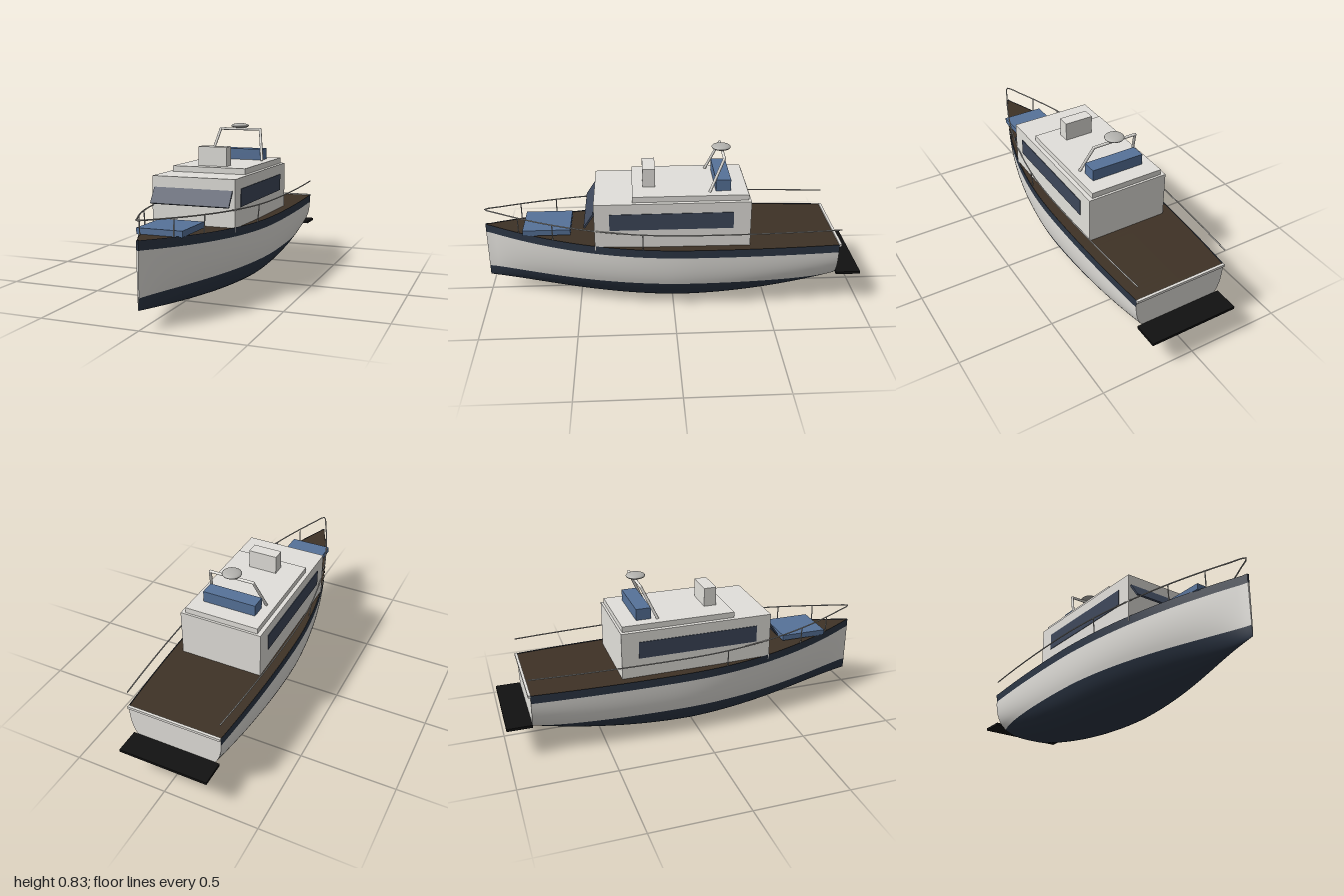
import * as THREE from 'three';

const mat = (name, color, side = THREE.FrontSide) => {
  const m = new THREE.MeshStandardMaterial({ color, side });
  m.name = name;
  return m;
};

// Hull lines as functions of z
const STERN = -0.87, BOW = 1, WATERLINE = 0.145, STRIPE = 0.045;
const beam = z => z < -0.15
  ? 0.28 - 0.03 * ((-0.15 - z) / 0.72) ** 2
  : Math.max(0.005, 0.28 * (1 - ((z + 0.15) / 1.15) ** 2.15));
const sheer = z => z > 0 ? 0.357 + 0.043 * z ** 1.8 : 0.357 + 0.006 * z;
const keel = z => z > 0 ? 0.09 * z * z : 0.112 * (z / 0.87) ** 2;
const halfWidth = (y, z) => {
  const n = 3 - Math.max(0, z);
  const t = Math.min(1, Math.max(0, (y - keel(z)) / (sheer(z) - keel(z))));
  return beam(z) * (1 - (1 - t) ** n) ** (1 / n);
};

// Surface from point(u, v), both 0..1; flip reverses the facing
function surface(point, nu, nv, flip) {
  const pos = [], idx = [];
  for (let j = 0; j <= nv; j++) {
    for (let i = 0; i <= nu; i++) pos.push(...point(i / nu, j / nv));
  }
  for (let j = 0; j < nv; j++) {
    for (let i = 0; i < nu; i++) {
      const a = j * (nu + 1) + i, b = a + 1, c = a + nu + 1, d = c + 1;
      if (flip) idx.push(a, c, b, b, c, d);
      else idx.push(a, b, c, b, d, c);
    }
  }
  const g = new THREE.BufferGeometry();
  g.setAttribute('position', new THREE.Float32BufferAttribute(pos, 3));
  g.setIndex(idx);
  g.computeVertexNormals();
  return g;
}

export function createModel() {
  const white = mat('white paint', 0xe2e0db);
  const navy = mat('navy paint', 0x2c3645, THREE.DoubleSide);
  const glass = mat('dark glass', 0x3d475a);
  const wood = mat('dark deck', 0x3e3226, THREE.DoubleSide);
  const blue = mat('blue cushion', 0x567299);
  const steel = mat('steel', 0xb4b3af);
  const black = mat('black rubber', 0x111111);

  const boat = new THREE.Group();
  boat.name = 'motorBoat';
  const add = (name, geometry, material, parent = boat) => {
    const m = new THREE.Mesh(geometry, material);
    m.name = name;
    parent.add(m);
    return m;
  };
  // Box given by its limits
  const box = (name, [x0, x1], [y0, y1], [z0, z1], material) => {
    const m = add(name, new THREE.BoxGeometry(x1 - x0, y1 - y0, z1 - z0), material);
    m.position.set((x0 + x1) / 2, (y0 + y1) / 2, (z0 + z1) / 2);
    return m;
  };
  // Round bar between two points
  const rod = (name, a, b, r, material, parent) => {
    const p = new THREE.Vector3(...a), q = new THREE.Vector3(...b);
    const d = q.clone().sub(p);
    const m = add(name, new THREE.CylinderGeometry(r, r, d.length(), 10), material, parent);
    m.position.copy(p).addScaledVector(d, 0.5);
    m.quaternion.setFromUnitVectors(new THREE.Vector3(0, 1, 0), d.normalize());
    return m;
  };

  // Hull sides in three bands: bottom, topsides, sheer stripe
  const stripeLow = z => sheer(z) - STRIPE;
  const bands = [
    ['hullBottom', keel, () => WATERLINE, 3, 16, navy],
    ['hullTopside', () => WATERLINE, stripeLow, 1, 8, white],
    ['hullStripe', stripeLow, sheer, 1, 2, navy],
  ];
  for (const [name, low, high, power, rows, material] of bands) {
    for (const side of [1, -1]) {
      const point = (u, v) => {
        const z = STERN + (BOW - STERN) * u;
        const y = low(z) + (high(z) - low(z)) * v ** power;
        return [side * halfWidth(y, z), y, z];
      };
      add(name, surface(point, 72, rows, side > 0), material);
    }
  }

  // Flat ends of the hull
  const end = (z, top) => (u, v) => {
    const y = keel(z) + (top - keel(z)) * v ** 2;
    return [(2 * u - 1) * halfWidth(y, z), y, z];
  };
  add('transom', surface(end(STERN, sheer(STERN)), 8, 20, true), white);
  add('stem', surface(end(BOW, stripeLow(BOW)), 1, 12, false), white);
  box('stemStripe', [-0.005, 0.005], [stripeLow(BOW), sheer(BOW)], [0.992, 1], navy);

  // Deck just under the sheer
  add('deck', surface((u, v) => {
    const z = STERN + (BOW - STERN) * v;
    return [(2 * u - 1) * beam(z) * 0.99, sheer(z) - 0.004, z];
  }, 2, 72, true), wood);
  box('transomCap', [-0.25, 0.25], [0.34, 0.354], [-0.882, -0.868], white);
  box('swimPlatform', [-0.237, 0.237], [0.165, 0.179], [-1, -0.87], black);

  // Cabin and upper deck
  box('cabin', [-0.222, 0.222], [0.34, 0.6], [-0.4, 0.408], white);
  box('upperDeck', [-0.2, 0.2], [0.6, 0.63], [-0.388, 0.21], white);
  box('helmConsole', [-0.078, 0.078], [0.63, 0.73], [0.088, 0.154], white);
  box('upperSeat', [-0.144, 0.144], [0.63, 0.69], [-0.3, -0.222], blue);
  box('foredeckHatch', [-0.115, 0.115], [0.38, 0.41], [0.54, 0.79], blue);

  // Windows
  for (const s of [1, -1]) {
    const w = box('sideWindow', [-0.003, 0.003], [0.455, 0.545], [-0.31, 0.33], glass);
    w.position.x = s * 0.222;
  }
  const shield = add('windshield', new THREE.BoxGeometry(0.418, 0.09, 0.009), glass);
  shield.position.set(0, 0.505, 0.434);
  shield.rotation.x = -0.59;

  // Radar arch
  const arch = new THREE.Group();
  arch.name = 'radarArch';
  boat.add(arch);
  for (const s of [1, -1]) {
    rod('archLeg', [s * 0.155, 0.63, -0.19], [s * 0.118, 0.798, -0.265], 0.0075, white, arch);
    add('archJoint', new THREE.SphereGeometry(0.0075, 10, 8), white, arch)
      .position.set(s * 0.118, 0.798, -0.265);
  }
  rod('archBar', [-0.118, 0.798, -0.265], [0.118, 0.798, -0.265], 0.0075, white, arch);
  const radar = add('radarDome', new THREE.SphereGeometry(0.05, 24, 14), steel, arch);
  radar.scale.y = 0.28;
  radar.position.set(0, 0.817, -0.26);

  // Guard rail following the sheer round the bow
  const rail = new THREE.Group();
  rail.name = 'guardRail';
  boat.add(rail);
  const railPoint = (z, s) => [s * beam(z) * 0.99, sheer(z) + 0.086, z];
  const path = [];
  for (let i = -24; i <= 24; i++) {
    const z = BOW - 0.004 + (STERN - BOW) * Math.abs(i) / 24;
    const p = new THREE.Vector3(...railPoint(z, Math.sign(i)));
    path.push(p);
  }
  add('railTube', new THREE.TubeGeometry(new THREE.CatmullRomCurve3(path), 160, 0.0035, 8), steel, rail);
  for (const z of [0.815, 0.63, 0.16]) {
    for (const s of [1, -1]) {
      const [x, y] = railPoint(z, s);
      rod('stanchion', [x * 0.97, sheer(z) - 0.004, z], [x, y, z], 0.003, steel, rail);
    }
  }
  return boat;
}
